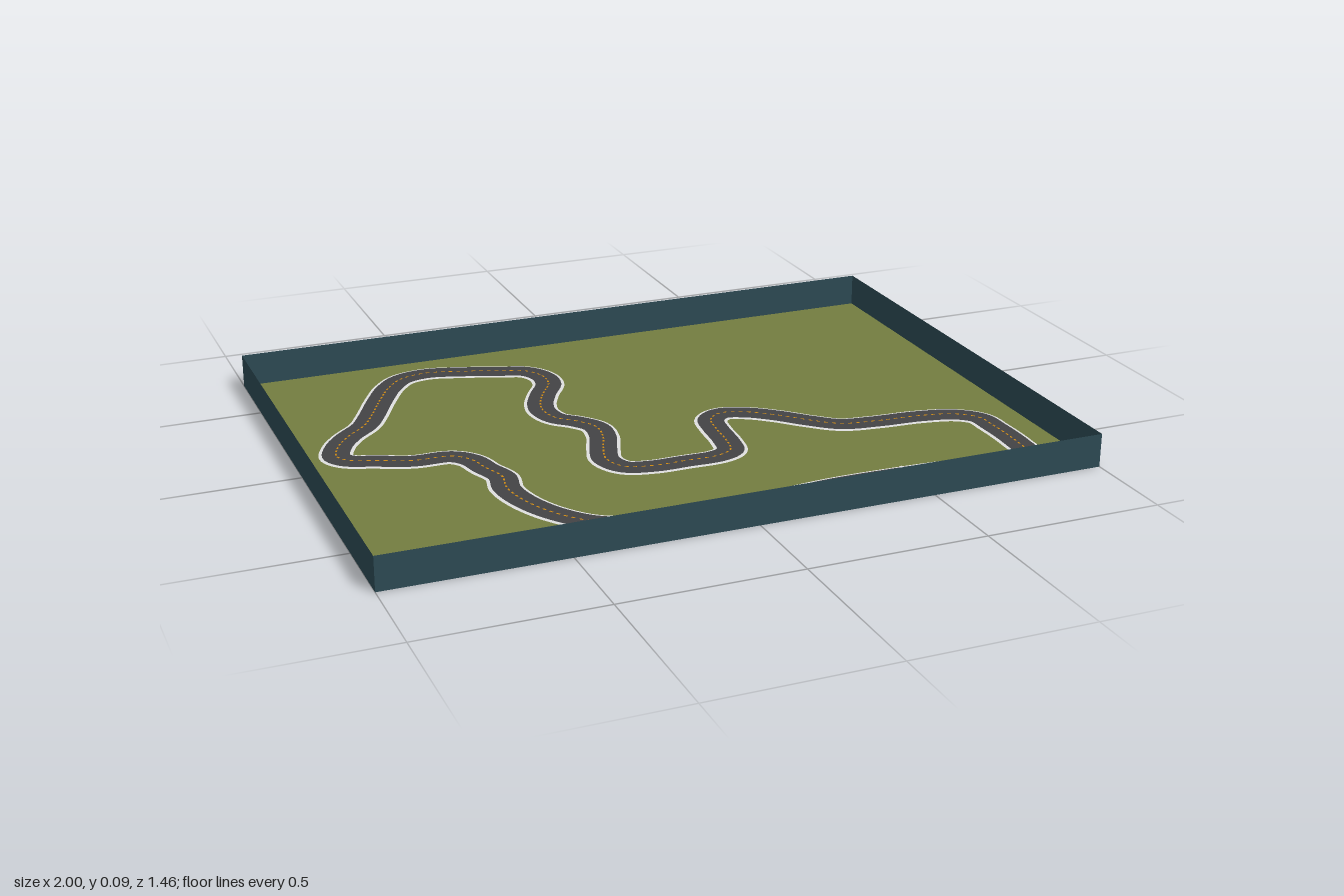
import * as THREE from 'three';

const HALF_DEPTH = 0.73, WALL_HEIGHT = 0.095;

// Centre line of the circuit as x, z pairs, clockwise from the start line
const ROUTE = [
  0.5, 0.58, 0.66, 0.59, 0.81, 0.608, 0.868, 0.575, 0.88, 0.5, 0.88, 0.38, 0.873, 0.31, 0.82, 0.262,
  0.72, 0.236, 0.59, 0.225, 0.49, 0.206, 0.42, 0.15, 0.35, 0.08, 0.28, 0.027, 0.21, 0.005, 0.165, 0.037,
  0.15, 0.107, 0.142, 0.195, 0.125, 0.262, 0.08, 0.286, -0.02, 0.287, -0.115, 0.285, -0.185, 0.262, -0.212, 0.198,
  -0.192, 0.12, -0.162, 0.037, -0.157, -0.035, -0.192, -0.09, -0.237, -0.135, -0.253, -0.198, -0.243, -0.255,
  -0.21, -0.326, -0.167, -0.4, -0.163, -0.465, -0.195, -0.522, -0.265, -0.552, -0.37, -0.59, -0.475, -0.617,
  -0.555, -0.6, -0.61, -0.545, -0.663, -0.455, -0.717, -0.348, -0.755, -0.283, -0.82, -0.218, -0.862, -0.158,
  -0.883, -0.092, -0.86, -0.055, -0.795, -0.028, -0.7, 0.011, -0.595, 0.02, -0.552, 0.062, -0.533, 0.13,
  -0.51, 0.2, -0.522, 0.28, -0.505, 0.375, -0.46, 0.473, -0.392, 0.553, -0.315, 0.594, -0.22, 0.606,
  -0.02, 0.6, 0.14, 0.59, 0.3, 0.577,
];

// Flat strip following the curve; skips every gap-th part when dashed
function ribbon(curve, halfWidth, y, steps, dashed = false) {
  const positions = [], normals = [], index = [];
  for (let i = 0; i <= steps; i++) {
    const u = (i % steps) / steps;
    const p = curve.getPointAt(u), t = curve.getTangentAt(u);
    for (const s of [-halfWidth, halfWidth]) {
      positions.push(p.x + t.z * s, y, p.z - t.x * s);
      normals.push(0, 1, 0);
    }
    if (i < steps && !(dashed && i % 2)) {
      const a = i * 2;
      index.push(a, a + 2, a + 1, a + 1, a + 2, a + 3);
    }
  }
  const geometry = new THREE.BufferGeometry();
  geometry.setAttribute('position', new THREE.Float32BufferAttribute(positions, 3));
  geometry.setAttribute('normal', new THREE.Float32BufferAttribute(normals, 3));
  geometry.setIndex(index);
  return geometry;
}

export function createModel() {
  const model = new THREE.Group();
  model.name = 'raceTrackTray';

  const paint = (name, color, side = THREE.FrontSide) => {
    const material = new THREE.MeshStandardMaterial({ color, side });
    material.name = name;
    return material;
  };
  const grass = paint('grassGreen', 0x737d40, THREE.DoubleSide);
  const wall = paint('slateBlue', 0x2d4a54, THREE.DoubleSide);
  const asphalt = paint('asphaltGrey', 0x434345);
  const white = paint('lineWhite', 0xe0e0e0);
  const orange = paint('dashOrange', 0xd08a10);

  const add = (name, geometry, material) => {
    const mesh = new THREE.Mesh(geometry, material);
    mesh.name = name;
    model.add(mesh);
    return mesh;
  };

  // Grass floor
  add('floor', new THREE.PlaneGeometry(2, HALF_DEPTH * 2).rotateX(-Math.PI / 2), grass);

  // Four thin walls
  for (const s of [-1, 1]) {
    const long = add(s > 0 ? 'frontWall' : 'backWall', new THREE.PlaneGeometry(2, WALL_HEIGHT), wall);
    long.position.set(0, WALL_HEIGHT / 2, s * HALF_DEPTH);
    long.rotation.y = s > 0 ? 0 : Math.PI;
    const short = add(s > 0 ? 'leftWall' : 'rightWall', new THREE.PlaneGeometry(HALF_DEPTH * 2, WALL_HEIGHT), wall);
    short.position.set(s, WALL_HEIGHT / 2, 0);
    short.rotation.y = s * Math.PI / 2;
  }

  // Circuit: white edging, asphalt and dashed centre line in layers
  const points = [];
  for (let i = 0; i < ROUTE.length; i += 2) points.push(new THREE.Vector3(ROUTE[i], 0, ROUTE[i + 1]));
  const curve = new THREE.CatmullRomCurve3(points, true, 'centripetal');
  curve.arcLengthDivisions = 1500;
  add('trackEdging', ribbon(curve, 0.047, 0.002, 500), white);
  add('trackSurface', ribbon(curve, 0.038, 0.004, 500), asphalt);
  add('centreDashes', ribbon(curve, 0.0025, 0.006, 500, true), orange);

  // Start line across the road
  const start = add('startLine', new THREE.PlaneGeometry(0.008, 0.08).rotateX(-Math.PI / 2), white);
  start.position.set(0.5, 0.007, 0.58);

  return model;
}
